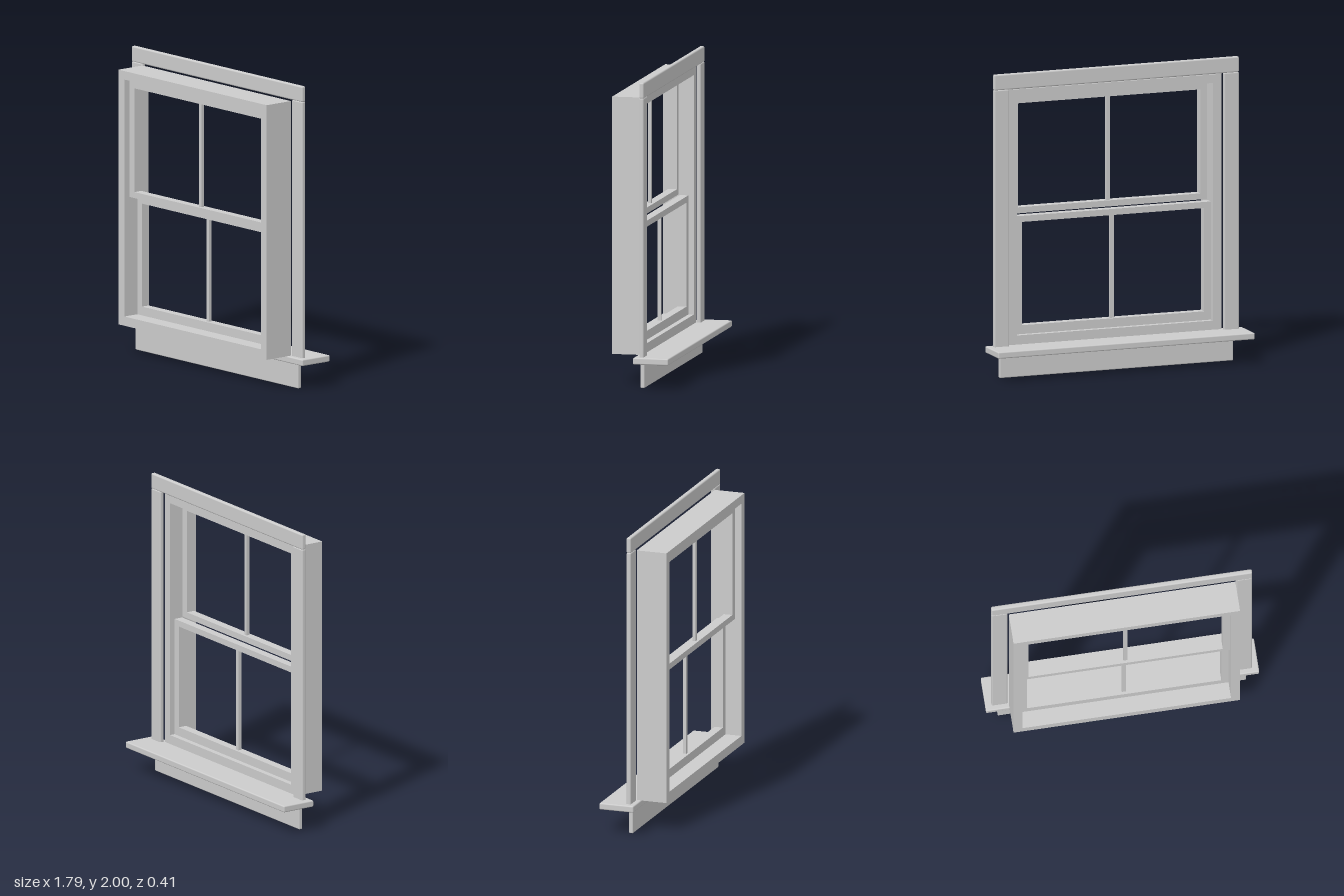
import * as THREE from 'three';
import { RoundedBoxGeometry } from 'three/addons/geometries/RoundedBoxGeometry.js';

const paint = new THREE.MeshStandardMaterial({ color: 0xcccccc });
paint.name = 'greyPaint';

// Rectangle path from its left, bottom, right and top edges
function rect(path, x0, y0, x1, y1) {
  path.moveTo(x0, y0);
  path.lineTo(x1, y0);
  path.lineTo(x1, y1);
  path.lineTo(x0, y1);
  path.closePath();
  return path;
}

// Rectangular ring: outer and inner are [halfWidth, bottom, top]
function ring(name, outer, inner, z0, z1) {
  const shape = rect(new THREE.Shape(), -outer[0], outer[1], outer[0], outer[2]);
  shape.holes.push(rect(new THREE.Path(), -inner[0], inner[1], inner[0], inner[2]));
  const geo = new THREE.ExtrudeGeometry(shape, { depth: z1 - z0, bevelEnabled: false });
  geo.translate(0, 0, z0);
  const mesh = new THREE.Mesh(geo, paint);
  mesh.name = name;
  return mesh;
}

// Board between two corners, with softened edges when radius > 0
function board(name, [x0, y0, z0], [x1, y1, z1], radius = 0) {
  const size = [x1 - x0, y1 - y0, z1 - z0];
  const geo = radius > 0
    ? new RoundedBoxGeometry(...size, 3, radius)
    : new THREE.BoxGeometry(...size);
  const mesh = new THREE.Mesh(geo, paint);
  mesh.name = name;
  mesh.position.set((x0 + x1) / 2, (y0 + y1) / 2, (z0 + z1) / 2);
  return mesh;
}

// Sash: ring of stiles and rails with one upright glazing bar
function sash(name, bottom, top, openBottom, openTop, z0, z1) {
  const group = new THREE.Group();
  group.name = name;
  const mid = (z0 + z1) / 2;
  group.add(
    ring(name + 'Frame', [0.682, bottom, top], [0.635, openBottom, openTop], z0, z1),
    board(name + 'GlazingBar', [-0.013, openBottom - 0.005, mid - 0.011], [0.013, openTop + 0.005, mid + 0.011])
  );
  return group;
}

export function createModel() {
  const model = new THREE.Group();
  model.name = 'sashWindow';

  // Deep box frame set in the wall
  model.add(ring('boxFrame', [0.741, 0.206, 1.888], [0.682, 0.267, 1.832], 0, 0.204));

  // Two sliding sashes, the upper one further forward
  model.add(
    sash('upperSash', 1.05, 1.832, 1.09, 1.775, 0.1, 0.158),
    sash('lowerSash', 0.267, 1.045, 0.325, 1.005, 0.036, 0.094)
  );

  // Casing boards around the opening
  model.add(board('headCasing', [-0.853, 1.896, -0.032], [0.853, 2, -0.001], 0.01));
  for (const [name, s] of [['leftCasing', 1], ['rightCasing', -1]]) {
    const a = s * 0.747, b = s * 0.853;
    model.add(board(name, [Math.min(a, b), 0.156, -0.032], [Math.max(a, b), 1.9, -0.001], 0.01));
  }

  // Stool shelf and the apron under it
  model.add(
    board('stool', [-0.894, 0.164, -0.204], [0.894, 0.207, 0.031], 0.008),
    board('apron', [-0.813, 0, -0.028], [0.813, 0.166, -0.001], 0.006)
  );
  return model;
}
